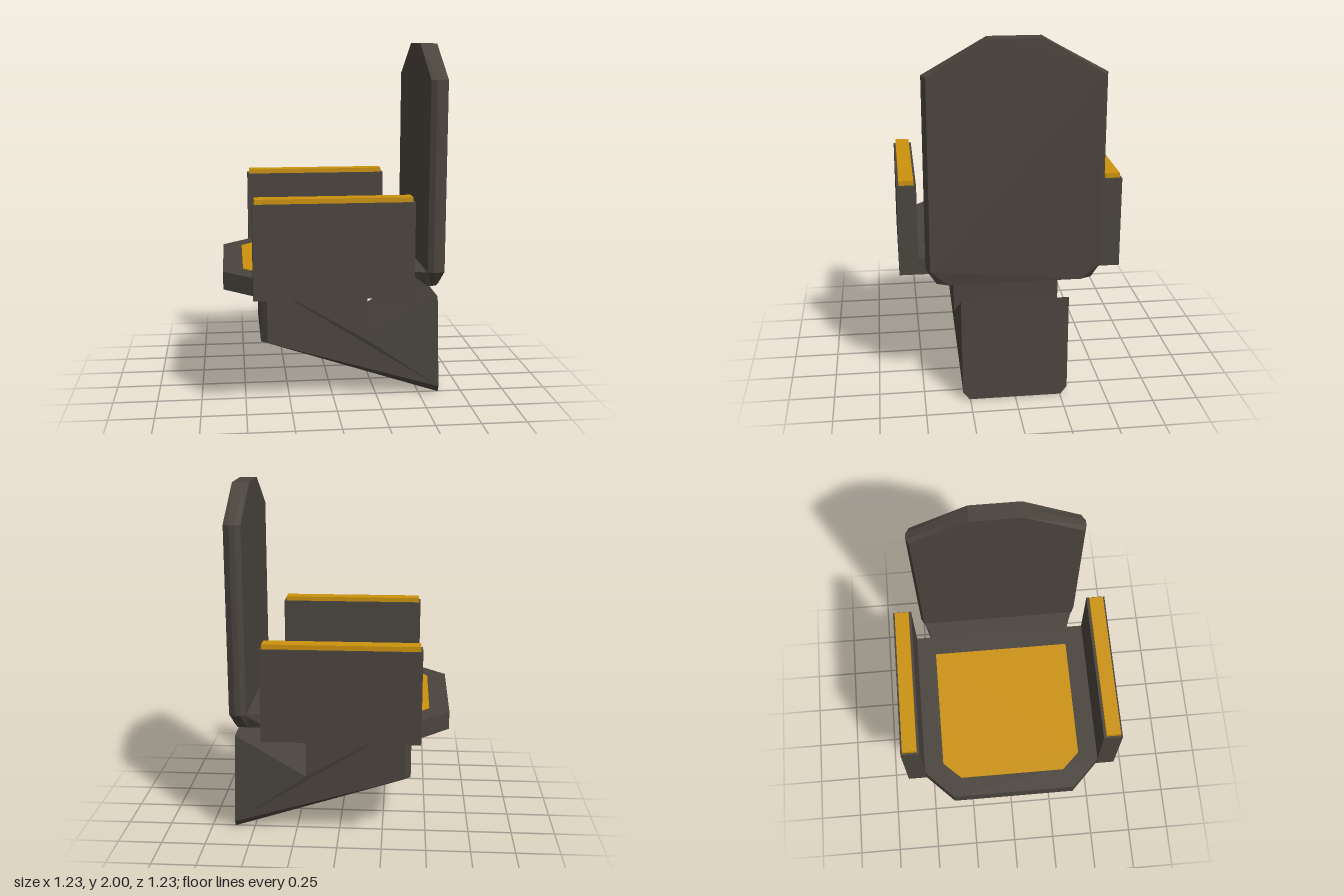
import * as THREE from 'three';

const frameMat = new THREE.MeshStandardMaterial({ color: 0x4a443d });
frameMat.name = 'dark frame';
const padMat = new THREE.MeshStandardMaterial({ color: 0xcb920c });
padMat.name = 'gold padding';

// Skins closed counter-clockwise sections of [x, y, z] points, ordered towards +z, with flat ends
function loft(sections) {
  const pos = [];
  const n = sections[0].length;
  for (let i = 0; i < sections.length - 1; i++) {
    for (let j = 0; j < n; j++) {
      const k = (j + 1) % n;
      const [a, b, c, d] = [sections[i][j], sections[i][k], sections[i + 1][k], sections[i + 1][j]];
      pos.push(...a, ...b, ...c, ...a, ...c, ...d);
    }
  }
  const cap = (s, flip) => {
    const outline = s.map(([x, y]) => new THREE.Vector2(x, y));
    for (const [a, b, c] of THREE.ShapeUtils.triangulateShape(outline, [])) {
      pos.push(...s[a], ...s[flip ? c : b], ...s[flip ? b : c]);
    }
  };
  cap(sections[0], true);
  cap(sections[sections.length - 1], false);
  const geo = new THREE.BufferGeometry();
  geo.setAttribute('position', new THREE.Float32BufferAttribute(pos, 3));
  geo.computeVertexNormals();
  return geo;
}

const atZ = (points, z) => points.map(([x, y]) => [x, y, z]);
const mirrorZ = (s) => s.map(([x, y, z]) => [x, y, -z]);

// Horizontal slab with both front corners cut off
function slab(front, cut, back, frontHalf, half, y0, y1) {
  const plan = [[front, frontHalf], [front, -frontHalf], [cut, -half], [back, -half], [back, half], [cut, half]];
  return loft([atZ(plan, y0), atZ(plan, y1)]).rotateX(-Math.PI / 2);
}

export function createModel() {
  const group = new THREE.Group();
  const add = (name, geo, mat) => {
    const mesh = new THREE.Mesh(geo, mat);
    mesh.name = name;
    group.add(mesh);
    return mesh;
  };

  // Pedestal with a raised tail and bevelled front and lower edges
  const side = [
    [-0.375, 0.68, 0.305], [-0.375, 0.345, 0.305], [0.612, 0.045, 0.29],
    [0.595, 0.585, 0.295], [0.19, 0.345, 0.305], [0.19, 0.68, 0.305],
  ];
  const inner = [
    [-0.41, 0.68, 0.27], [-0.41, 0.345, 0.27], [0.615, 0.002, 0.255],
    [0.595, 0.585, 0.27], [0.19, 0.345, 0.27], [0.19, 0.68, 0.27],
  ];
  add('pedestal', loft([mirrorZ(side), mirrorZ(inner), inner, side]), frameMat);

  // Seat and its inlaid cushion
  add('seat', slab(-0.615, -0.455, 0.4, 0.35, 0.51, 0.675, 0.775), frameMat);
  add('seatCushion', slab(-0.505, -0.41, 0.285, 0.3, 0.4, 0.774, 0.779), padMat);

  // Bracket flaring from the seat to the backrest
  const bracket = (x, top, low) => atZ([[-top, 0.768], [-low, 0.682], [low, 0.682], [top, 0.768]], x);
  add('backBracket', loft([bracket(0.39, 0.415, 0.415), bracket(0.51, 0.46, 0.42)]).rotateY(Math.PI / 2), frameMat);

  // Backrest: tapered head, bevelled sides, tucked-in lower corners
  const backSection = (x, half, low, lowX) => {
    const left = [[-0.14, 2, x], [-half, 1.815, x], [-half, 0.77, x], [-low, 0.683, lowX]];
    return [...left, ...left.map(([u, y, w]) => [-u, y, w]).reverse()];
  };
  const back = loft([
    backSection(0.5, 0.46, 0.42, 0.5),
    backSection(0.53, 0.477, 0.42, 0.53),
    backSection(0.56, 0.477, 0.42, 0.555),
    backSection(0.595, 0.455, 0.36, 0.582),
  ]).rotateY(Math.PI / 2);
  add('backrest', back, frameMat);

  // Side panels with padded tops
  for (const s of [1, -1]) {
    const label = s > 0 ? 'front' : 'rear';
    add(label + 'ArmPanel', new THREE.BoxGeometry(0.857, 0.513, 0.105), frameMat)
      .position.set(-0.0295, 0.9315, s * 0.5625);
    add(label + 'ArmPad', new THREE.BoxGeometry(0.833, 0.03, 0.08), padMat)
      .position.set(-0.0305, 1.199, s * 0.5635);
  }
  return group;
}
